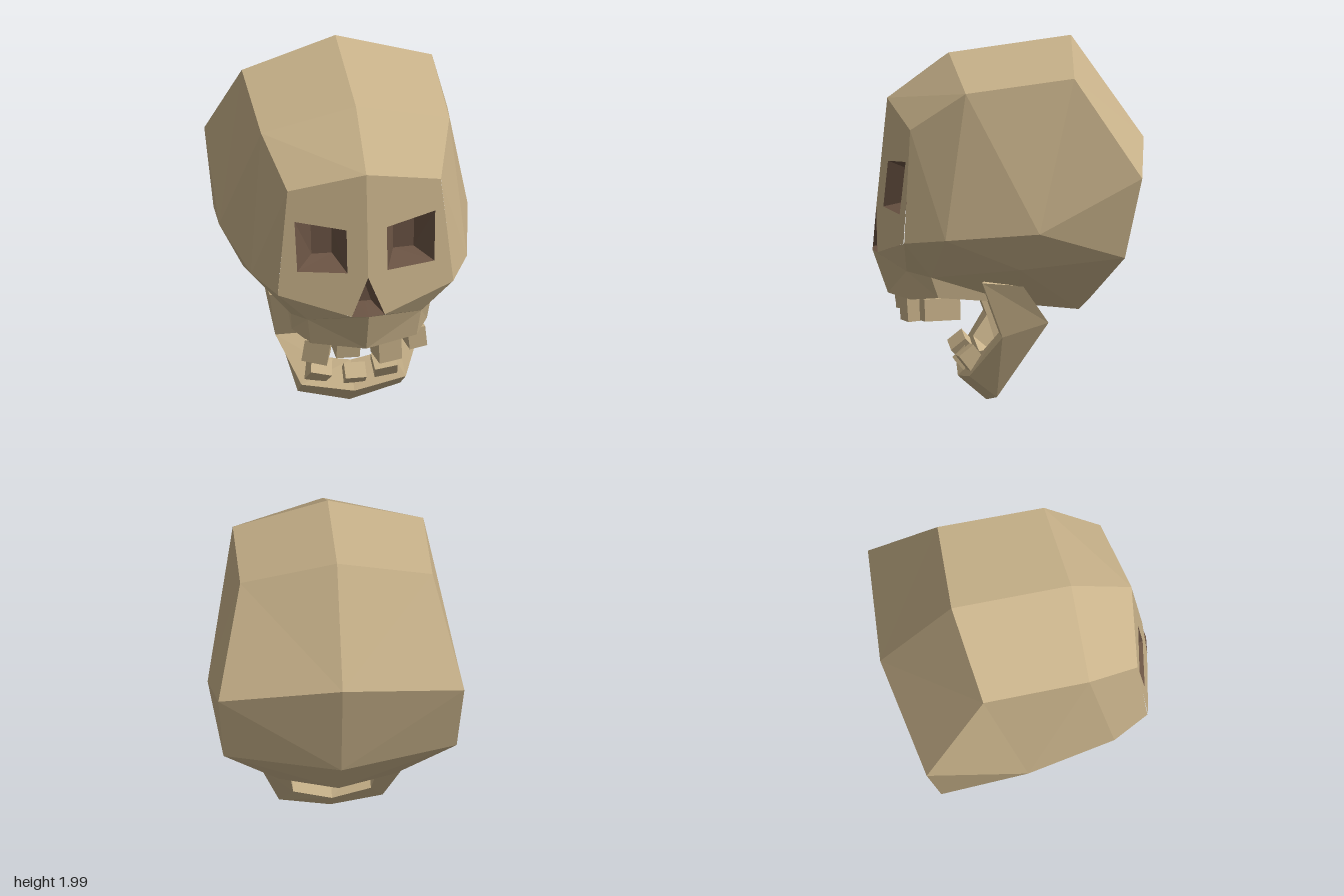
import * as THREE from 'three';

const bone = new THREE.MeshStandardMaterial({ color: 0xc8b28a, flatShading: true });
bone.name = 'bone';
const hollow = new THREE.MeshStandardMaterial({ color: 0x6b5444, flatShading: true, side: THREE.DoubleSide });
hollow.name = 'hollow brown';

function meshFrom(name, tris, material) {
  const geo = new THREE.BufferGeometry();
  geo.setAttribute('position', new THREE.Float32BufferAttribute(tris.flat(2), 3));
  geo.computeVertexNormals();
  const mesh = new THREE.Mesh(geo, material);
  mesh.name = name;
  return mesh;
}

// Turns a triangle so that it faces away from the middle of the skull
function outward(tri) {
  const [a, b, c] = tri.map(p => new THREE.Vector3(...p));
  const n = b.clone().sub(a).cross(c.clone().sub(a));
  const mid = a.clone().add(b).add(c).divideScalar(3).sub(new THREE.Vector3(0, 1.15, 0));
  return n.dot(mid) < 0 ? [tri[0], tri[2], tri[1]] : tri;
}

// Slope of the flat face on either side of the middle
const faceZ = (x, y) => 0.73 - 0.2 * Math.abs(x) - 0.1 * (y - 0.97);

// Landmarks of the left half; those starting with m lie on the middle line
const P = {
  mCrown: [0, 2, -0.34], mTop: [0, 1.92, 0.325], mBrow: [0, 1.68, 0.66],
  mBack: [0, 1.43, -0.735], mNape: [0, 0.82, -0.635], mBase: [0, 0.55, -0.44],
  mLip: [0, 0.85, 0.74], mGum: [0, 0.61, 0.655],
  crown: [0.52, 1.86, -0.29], top: [0.515, 1.79, 0.3], brow: [0.42, 1.58, 0.59],
  cheek: [0.48, 0.97, 0.63], temple: [0.59, 1.0, 0.42], ear: [0.68, 1.04, -0.08],
  back: [0.665, 1.33, -0.64], nape: [0.63, 0.89, -0.55], hinge: [0.565, 0.825, 0.01],
  lipBack: [0.38, 0.76, 0.47], lip: [0.31, 0.785, 0.595], nose: [0.09, 0.85, 0.725],
  gum: [0.29, 0.625, 0.57], gumBack: [0.37, 0.645, 0.43],
  under: [0.33, 0.6, 0], base: [0.315, 0.555, -0.34],
};

// Facets of one half, each split as a fan from its first corner
const FACETS = [
  'crown mCrown mBack back', 'crown top mTop mCrown', 'top brow mBrow mTop',
  'back mBack mNape nape', 'nape mNape mBase base',
  'crown back ear', 'crown ear top', 'top ear temple', 'top temple brow', 'brow temple cheek',
  'ear back nape', 'ear nape hinge', 'ear hinge temple', 'temple hinge lipBack',
  'cheek temple lipBack', 'cheek lipBack lip', 'cheek lip nose',
  'lip nose mLip', 'lip mLip mGum gum', 'lip lipBack gumBack gum',
  'lipBack hinge under gumBack', 'hinge nape base under',
  'mGum gum gumBack under base mBase',
];

const EYE = [[0.11, 1.355], [0.385, 1.4], [0.375, 1.11], [0.11, 1.105]];

// Recess that narrows from an opening to a smaller floor
function recess(name, rim, centre, sx, sy, depth) {
  const zFloor = faceZ(centre[0], centre[1]) - depth;
  const floor = rim.map(p => [
    centre[0] + (p[0] - centre[0]) * sx, centre[1] + (p[1] - centre[1]) * sy, zFloor]);
  const tris = [];
  rim.forEach((p, i) => {
    const j = (i + 1) % rim.length;
    tris.push([p, rim[j], floor[j]], [p, floor[j], floor[i]]);
    if (i > 0 && j > 0) tris.push([floor[0], floor[i], floor[j]]);
  });
  return meshFrom(name, tris, hollow);
}

function buildSkull() {
  const skull = new THREE.Group();
  skull.name = 'skull';
  for (const s of [1, -1]) {
    const side = s > 0 ? 'left' : 'right';
    const flip = ([x, y, z]) => [x * s, y, z];
    const tris = [];
    for (const facet of FACETS) {
      const c = facet.split(' ').map(k => flip(P[k]));
      for (let i = 1; i < c.length - 1; i++) tris.push(outward([c[0], c[i], c[i + 1]]));
    }
    skull.add(meshFrom(side + 'Cranium', tris, bone));

    // Face plate with the eye opening
    const v2 = ([x, y]) => new THREE.Vector2(x * s, y);
    const shape = new THREE.Shape([P.mBrow, P.brow, P.cheek, P.nose, [0, 1.08]].map(v2));
    shape.holes.push(new THREE.Path(EYE.map(v2)));
    const geo = new THREE.ShapeGeometry(shape);
    const pos = geo.attributes.position;
    for (let i = 0; i < pos.count; i++) pos.setZ(i, faceZ(pos.getX(i), pos.getY(i)));
    geo.computeVertexNormals();
    const face = new THREE.Mesh(geo, bone);
    face.name = side + 'Face';
    skull.add(face);

    const rim = EYE.map(([x, y]) => [x * s, y, faceZ(x, y)]);
    skull.add(recess(side + 'EyeSocket', rim, [0.21 * s, 1.225], 0.42, 0.62, 0.13));
  }
  const noseRim = [[0, 1.08, faceZ(0, 1.08)], P.nose, P.mLip, [-0.09, 0.85, 0.725]];
  skull.add(recess('noseHole', noseRim, [0, 0.9], 0.4, 0.5, 0.14));
  return skull;
}

// Jaw: a four-sided bar swept from one hinge round the chin to the other
function buildJaw() {
  // Corners: outer front, outer back, inner back, inner front
  const half = [
    [[0, 0.145, 0.275], [0, 0.01, 0.12], [0, 0.13, 0.02], [0, 0.275, 0.16]],
    [[0.285, 0.195, 0.25], [0.28, 0.075, 0.1], [0.21, 0.19, 0.015], [0.21, 0.32, 0.165]],
    [[0.4, 0.425, 0.085], [0.4, 0.5, -0.165], [0.25, 0.5, -0.165], [0.25, 0.425, 0.085]],
    [[0.45, 0.735, 0.2], [0.45, 0.715, -0.02], [0.31, 0.715, -0.02], [0.31, 0.735, 0.2]],
  ];
  const mirrored = half.slice(1).reverse().map(r => r.map(([x, y, z]) => [-x, y, z]));
  const rings = [...mirrored, ...half];
  const tris = [];
  for (let i = 0; i < rings.length - 1; i++) {
    const a = rings[i], b = rings[i + 1];
    for (let k = 0; k < 4; k++) {
      const n = (k + 1) % 4;
      tris.push([a[k], a[n], b[k]], [a[n], b[n], b[k]]);
    }
  }
  // Peaked hinge ends
  const a = rings[0], b = rings[rings.length - 1];
  const peak = s => [0.38 * s, 0.757, 0.165];
  for (let k = 0; k < 4; k++) {
    const n = (k + 1) % 4;
    tris.push([a[n], a[k], peak(-1)], [b[k], b[n], peak(1)]);
  }
  return meshFrom('lowerJaw', tris, bone);
}

// Teeth: position, size, rotation
const UPPER = [
  [[-0.24, 0.56, 0.5], [0.14, 0.13, 0.14], [0, -0.3, -0.15]],
  [[-0.09, 0.58, 0.53], [0.13, 0.09, 0.13], [0.1, 0.05, -0.05]],
  [[0.13, 0.55, 0.52], [0.13, 0.13, 0.14], [0.05, 0.2, 0.05]],
  [[0.29, 0.57, 0.41], [0.1, 0.12, 0.2], [0, 0.15, 0.1]],
];
const LOWER = [
  [[-0.19, 0.27, 0.225], [0.12, 0.11, 0.1], [0.7, -0.15, -0.25]],
  [[0.005, 0.23, 0.23], [0.115, 0.1, 0.09], [0.75, 0, -0.03]],
  [[0.17, 0.27, 0.225], [0.125, 0.12, 0.1], [0.65, 0.1, 0.08]],
];

function buildTeeth(name, list) {
  const group = new THREE.Group();
  group.name = name;
  for (const [p, size, r] of list) {
    const tooth = new THREE.Mesh(new THREE.BoxGeometry(...size), bone);
    tooth.name = 'tooth';
    tooth.position.set(...p);
    tooth.rotation.set(...r);
    group.add(tooth);
  }
  return group;
}

export function createModel() {
  const model = new THREE.Group();
  model.name = 'lowPolySkull';
  model.add(buildSkull(), buildJaw(), buildTeeth('upperTeeth', UPPER), buildTeeth('lowerTeeth', LOWER));
  model.position.y = -0.01;
  const root = new THREE.Group();
  root.add(model);
  return root;
}
